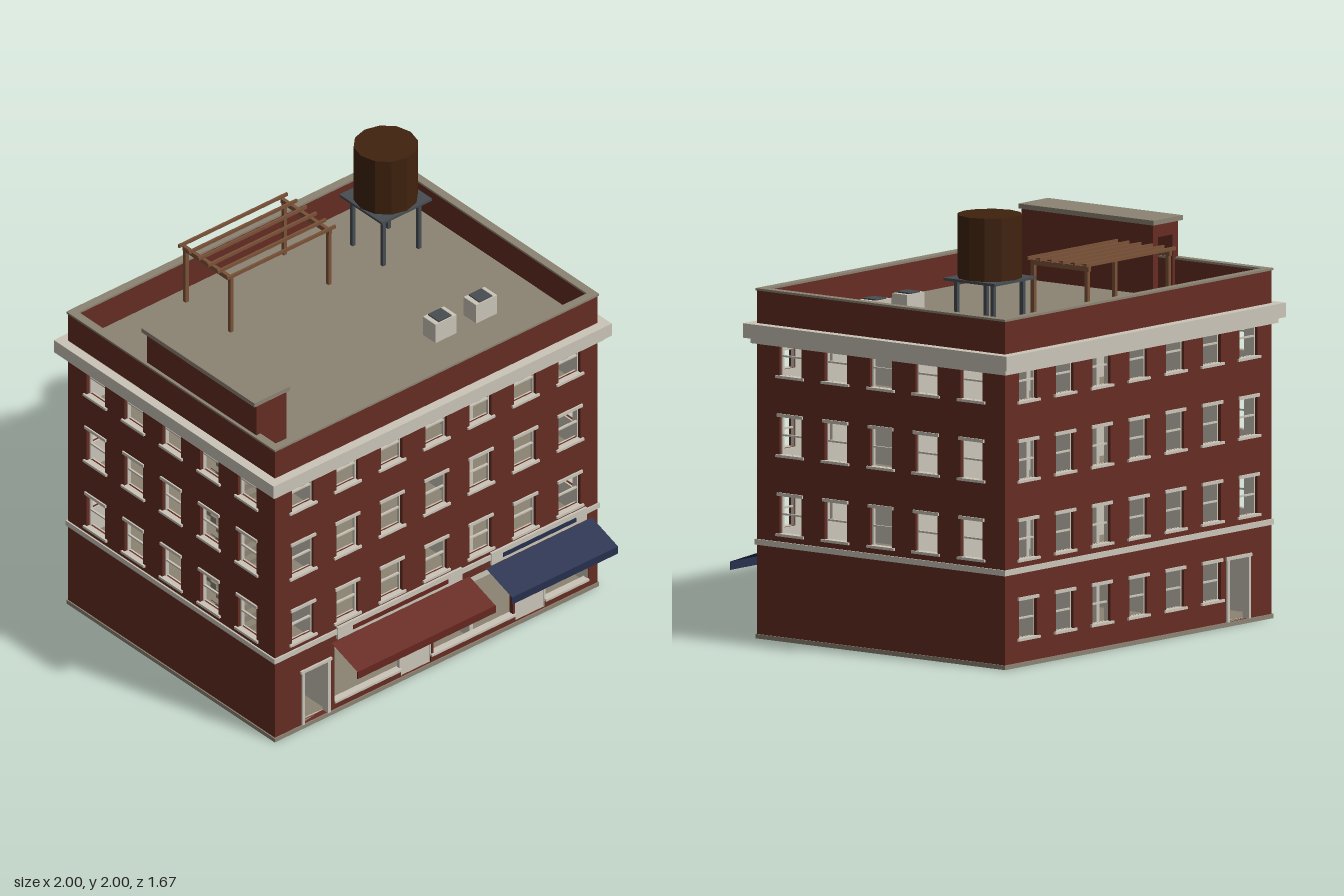
import * as THREE from 'three';

const mat = (name, color) => {
  const m = new THREE.MeshStandardMaterial({ color });
  m.name = name;
  return m;
};

export function createModel() {
  const brick = mat('brick', 0x652c23), stone = mat('pale stone', 0xcbc5b8), taupe = mat('roof taupe', 0x8c8473);
  const wood = mat('tank wood', 0x40220e), cedar = mat('pergola wood', 0x7a5238), steel = mat('dark steel', 0x474d52);
  const red = mat('awning red', 0x66261e), navy = mat('awning navy', 0x27304e);
  red.side = navy.side = THREE.DoubleSide;

  const root = new THREE.Group();
  root.name = 'cornerBuilding';
  const X = 0.952, ZF = 0.645, ZB = -0.79, ZC = (ZF + ZB) / 2, D = ZF - ZB, T = 0.03;
  const PITCH = 0.36, ROOF = 1.44, STEP = 0.2625;

  const group = (name, parent = root) => {
    const g = new THREE.Group();
    g.name = name;
    parent.add(g);
    return g;
  };
  const add = (parent, name, geo, m) => {
    const mesh = new THREE.Mesh(geo, m);
    mesh.name = name;
    parent.add(mesh);
    return mesh;
  };
  // Box given by its low and high limits on each axis
  const box = (parent, name, m, x0, x1, y0, y1, z0, z1) => {
    const mesh = add(parent, name, new THREE.BoxGeometry(x1 - x0, y1 - y0, z1 - z0), m);
    mesh.position.set((x0 + x1) / 2, (y0 + y1) / 2, (z0 + z1) / 2);
    return mesh;
  };
  // Flat panel with rectangular holes, each [x0, x1, y0, y1]
  const panel = (x0, x1, y0, y1, holes, depth) => {
    const rect = (P, a, b, c, d) => new P([[a, c], [b, c], [b, d], [a, d]].map(p => new THREE.Vector2(...p)));
    const shape = rect(THREE.Shape, x0, x1, y0, y1);
    shape.holes = holes.map(h => rect(THREE.Path, ...h));
    return new THREE.ExtrudeGeometry(shape, { depth, bevelEnabled: false });
  };
  // Band around the whole building, standing out by e
  const ring = (name, m, e, y0, y1, w) => {
    const g = group(name), x = X + e, f = ZF + e, b = ZB - e;
    box(g, name + 'Front', m, -x, x, y0, y1, f - w, f);
    box(g, name + 'Back', m, -x, x, y0, y1, b, b + w);
    for (const s of [-1, 1]) {
      const side = box(g, name + 'Side', m, -w / 2, w / 2, y0, y1, b + w, f - w);
      side.position.x = s * (x - w / 2);
    }
  };

  // Outer walls: brick skin, pale lining, windows with lintel, sill and sash bars
  const facade = (name, halfWidth, cols, groundCols, extraHoles) => {
    const g = group(name), holes = [...extraHoles], wins = [];
    for (let f = 0; f < 4; f++)
      for (const c of f ? cols : groundCols) wins.push([c * STEP, f * PITCH]);
    for (const [x, y] of wins) holes.push([x - 0.064, x + 0.064, y + 0.128, y + 0.306]);
    add(g, 'brickWall', panel(-halfWidth, halfWidth, 0.005, 1.586, holes, T), brick).position.z = -T;
    const low = holes.filter(h => h[3] < 1.42);
    add(g, 'wallLining', panel(-halfWidth + 0.002, halfWidth - 0.002, 0.02, 1.42, low, 0.008), stone).position.z = -T - 0.008;
    for (const [x, y] of wins) {
      const w = group('window', g);
      w.position.set(x, y, 0);
      box(w, 'lintel', stone, -0.073, 0.073, 0.302, 0.317, -0.012, 0.008);
      box(w, 'sill', stone, -0.08, 0.08, 0.118, 0.13, -0.02, 0.01);
      box(w, 'meetingRail', stone, -0.064, 0.064, 0.213, 0.221, -0.026, -0.016);
      for (const s of [-1, 1]) box(w, 'sashStile', stone, s * 0.061 - 0.003, s * 0.061 + 0.003, 0.13, 0.302, -0.026, -0.016);
    }
    return g;
  };
  const seven = [-3, -2, -1, 0, 1, 2, 3], five = [-2, -1, 0, 1, 2];
  const doorFrame = (parent, x0, x1) => {
    for (const x of [x0, x1]) box(parent, 'doorJamb', stone, x - 0.008, x + 0.008, 0.02, 0.302, -0.03, 0.008);
    box(parent, 'doorHead', stone, x0 - 0.015, x1 + 0.015, 0.302, 0.317, -0.03, 0.01);
  };
  const front = facade('frontFacade', X, seven, [], [[-0.792, -0.632, 0.02, 0.305], [-0.6, 0.9, 0.02, 0.38]]);
  front.position.z = ZF;
  doorFrame(front, -0.788, -0.636);
  const back = facade('backFacade', X, seven, [-3, -2, -1, 0, 1, 2], [[0.632, 0.792, 0.02, 0.305]]);
  back.position.z = ZB;
  back.rotation.y = Math.PI;
  doorFrame(back, 0.636, 0.788);
  for (const s of [-1, 1]) {
    const side = facade(s > 0 ? 'rightFacade' : 'leftFacade', D / 2 - T, five, [], []);
    side.position.set(s * X, 0, ZC);
    side.rotation.y = s * Math.PI / 2;
  }

  // Bands, cornice and coping
  ring('basePlinth', taupe, 0.006, 0, 0.02, 0.03);
  ring('beltCourse', stone, 0.008, 0.427, 0.453, 0.02);
  ring('corniceBed', stone, 0.022, 1.345, 1.37, 0.03);
  ring('cornice', stone, 0.046, 1.37, 1.436, 0.052);
  ring('coping', taupe, 0.006, 1.585, 1.595, 0.04);

  // Shop fronts
  const shops = group('shopFronts');
  shops.position.z = ZF;
  box(shops, 'shopHeader', stone, -0.6, 0.9, 0.345, 0.38, -0.028, -0.004);
  for (const [x0, x1] of [[-0.6, -0.205], [-0.03, 0.47], [0.645, 0.9]]) {
    box(shops, 'stallRiser', brick, x0, x1, 0.02, 0.052, -0.028, -0.002);
    box(shops, 'shopSill', stone, x0, x1, 0.052, 0.064, -0.03, 0.006);
    for (const x of [x0, x1]) box(shops, 'mullion', stone, x - 0.005, x + 0.005, 0.02, 0.345, -0.024, -0.006);
  }
  for (const x of [-0.02, 0.462]) box(shops, 'doorPost', brick, x - 0.006, x + 0.006, 0.02, 0.345, -0.026, -0.003);
  for (const [x0, x1] of [[-0.2, -0.035], [0.475, 0.64]])
    box(shops, 'doorPanel', stone, x0, x1, 0.02, 0.128, -0.02, -0.01);

  // Sign boards and awnings
  for (const [m, a0, a1, s0, s1, t0, t1] of [
    [red, -0.62, 0.195, -0.59, 0.145, -0.5, 0.06],
    [navy, 0.292, 0.918, 0.317, 0.882, 0.385, 0.815]]) {
    const g = group('awningAndSign');
    box(g, 'signBoard', stone, s0, s1, 0.4, 0.465, ZF, ZF + 0.012);
    box(g, 'signStripe', m, t0, t1, 0.418, 0.44, ZF + 0.012, ZF + 0.015);
    const rise = 0.063, run = 0.18;
    const cloth = add(g, 'awningCloth', new THREE.PlaneGeometry(a1 - a0, Math.hypot(rise, run)), m);
    cloth.position.set((a0 + a1) / 2, 0.327 + rise / 2, ZF + 0.003 + run / 2);
    cloth.rotation.x = -Math.atan2(run, rise);
    box(g, 'awningValance', m, a0, a1, 0.289, 0.327, ZF + 0.181, ZF + 0.185);
  }

  // Floors, ceilings and roof deck, with an opening over the stairs
  const inside = group('interior');
  const stairHole = [-0.925, -0.78, 0, 0.45];
  for (let f = 0; f <= 4; f++) {
    const slab = (name, m, y, depth) => {
      const geo = panel(-0.925, 0.925, ZB + T - 0.002, ZF - T + 0.002, f ? [[-0.915, ...stairHole.slice(1)]] : [], depth);
      geo.rotateX(Math.PI / 2);
      add(inside, name, geo, m).position.y = y;
    };
    slab(f === 4 ? 'roofDeck' : 'floorSlab', taupe, f ? f * PITCH : 0.02, 0.014);
    if (f) slab('ceiling', stone, f * PITCH - 0.014, 0.005);
  }
  box(inside, 'foundation', taupe, -X + 0.01, X - 0.01, 0.001, 0.01, ZB + 0.01, ZF - 0.01);

  // Partitions: stair wall, cross wall and spine wall
  for (let f = 0; f < 4; f++) {
    const y = f * PITCH, top = PITCH - 0.019;
    const doors = f ? [[-0.3, -0.18, 0.002, 0.27], [0.345, 0.46, 0.002, 0.27]] : [];
    for (const x of [-0.62, 0.24]) {
      const wall = add(inside, 'partition', panel(-ZF + 0.038, -ZB - 0.038, 0, top, doors, 0.02), stone);
      wall.rotation.y = Math.PI / 2;
      wall.position.set(x - 0.01, y, 0);
    }
    if (f) box(inside, 'spineWall', stone, -0.61, 0.914, y, y + top, -0.12, -0.1);
    else box(inside, 'backRoomWall', stone, -0.18, 0.23, 0.02, top, -0.4, -0.38);
    // Stair flight rising toward the back
    for (let i = 0; i < 12; i++)
      box(inside, 'stairTread', taupe, -0.912, -0.785, y + i * 0.03 - (i ? 0.01 : 0), y + (i + 1) * 0.03, 0.45 - (i + 1) * 0.0375, 0.45 - i * 0.0375);
  }

  // Stair bulkhead with an open doorway at the back
  const hut = group('stairBulkhead');
  for (const [x0, x1] of [[-0.943, -0.923], [-0.783, -0.763]])
    box(hut, 'bulkheadSide', brick, x0, x1, ROOF, 1.76, -0.235, 0.485);
  box(hut, 'bulkheadFront', brick, -0.943, -0.763, ROOF, 1.76, 0.485, 0.505);
  add(hut, 'bulkheadDoorWall', panel(-0.943, -0.763, ROOF, 1.76, [[-0.905, -0.8, ROOF + 0.004, 1.7]], 0.02), brick).position.z = -0.255;
  box(hut, 'bulkheadCap', taupe, -0.962, -0.752, 1.76, 1.782, -0.268, 0.515);

  // Water tank on a steel stand
  const tank = group('waterTank');
  tank.position.set(0.617, 0, -0.43);
  add(tank, 'tankBarrel', new THREE.CylinderGeometry(0.147, 0.147, 0.288, 12).toNonIndexed(), wood).position.y = 1.856;
  tank.children[0].geometry.computeVertexNormals();
  box(tank, 'tankPlatform', steel, -0.148, 0.148, 1.7, 1.712, -0.148, 0.148);
  for (const x of [-0.105, 0.105])
    for (const z of [-0.105, 0.105]) box(tank, 'tankLeg', steel, x - 0.009, x + 0.009, ROOF, 1.7, z - 0.009, z + 0.009);

  // Pergola
  const pergola = group('pergola');
  for (const x of [-0.35, 0.23]) {
    box(pergola, 'pergolaBeam', cedar, x - 0.009, x + 0.009, 1.715, 1.738, -0.695, -0.36);
    for (const z of [-0.68, -0.37]) box(pergola, 'pergolaPost', cedar, x - 0.009, x + 0.009, ROOF, 1.715, z - 0.009, z + 0.009);
  }
  for (let i = 0; i < 6; i++) {
    const z = -0.695 + i * 0.067;
    box(pergola, 'pergolaSlat', cedar, -0.38, 0.26, 1.738, 1.754, z - 0.005, z + 0.005);
  }

  // Roof air units
  for (const x of [0.352, 0.592]) {
    const unit = group('airUnit');
    box(unit, 'airUnitCase', stone, x - 0.062, x + 0.062, ROOF, ROOF + 0.1, 0.213, 0.3);
    box(unit, 'airUnitGrille', steel, x - 0.038, x + 0.038, ROOF + 0.1, ROOF + 0.106, 0.219, 0.294);
  }
  return root;
}
